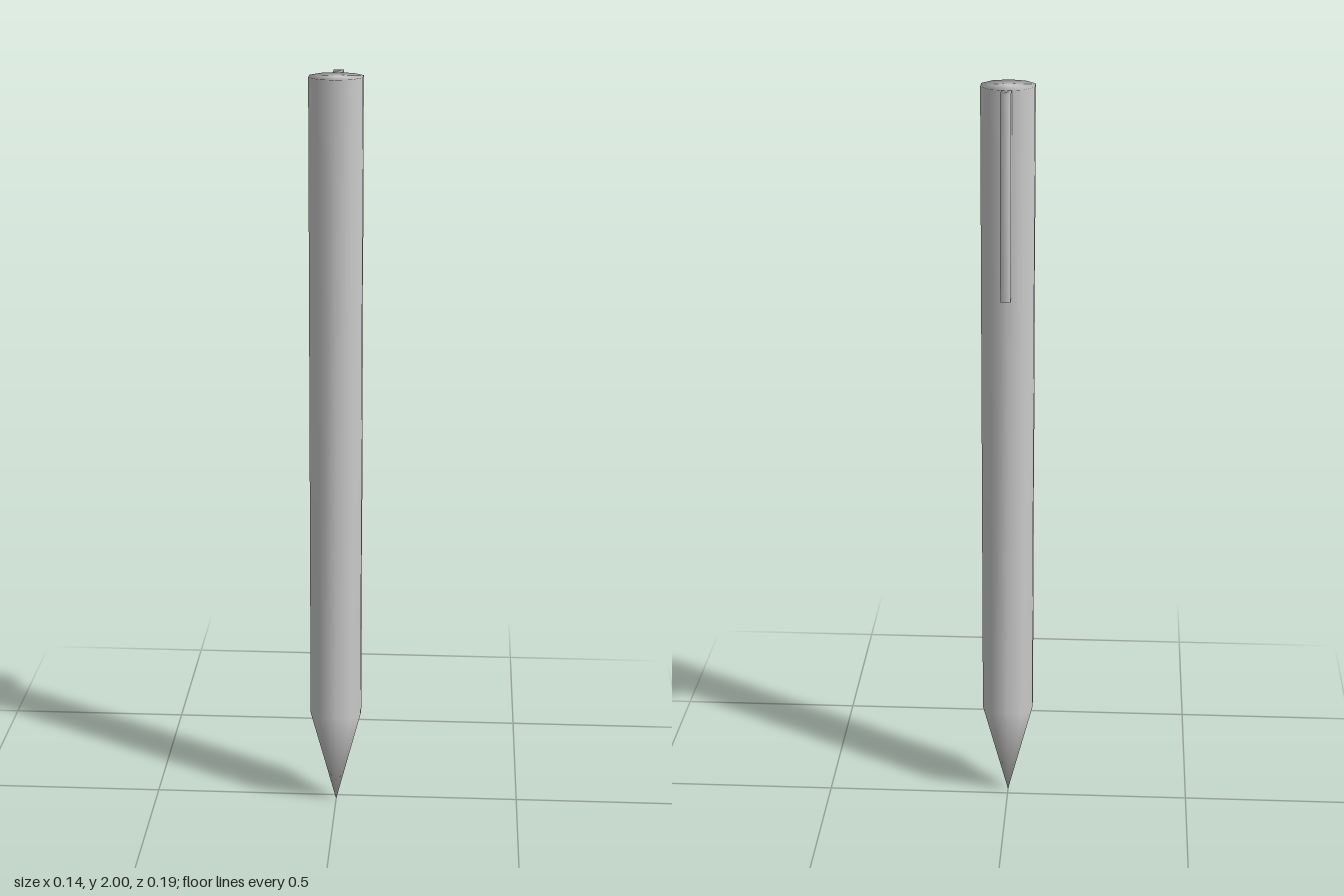
import * as THREE from 'three';
import { mergeVertices } from 'three/addons/utils/BufferGeometryUtils.js';

// Weld all corners so shading runs smoothly over every edge of a part
function soften(geometry) {
  geometry.deleteAttribute('normal');
  geometry.deleteAttribute('uv');
  const welded = mergeVertices(geometry, 1e-4);
  welded.computeVertexNormals();
  return welded;
}

export function createModel() {
  const pen = new THREE.Group();
  pen.name = 'pen';

  const grey = new THREE.MeshStandardMaterial({ color: 0xcccccc });
  grey.name = 'light grey';

  const radius = 0.072, sides = 10, axisZ = 0.024, tipHeight = 0.27, top = 2;

  function add(name, geometry, y, z) {
    const mesh = new THREE.Mesh(soften(geometry), grey);
    mesh.name = name;
    mesh.position.set(0, y, z);
    pen.add(mesh);
  }

  // Ten-sided barrel
  const barrelHeight = top - tipHeight;
  add('barrel', new THREE.CylinderGeometry(radius, radius, barrelHeight, sides), tipHeight + barrelHeight / 2, axisZ);

  // Pointed writing tip, turned point down
  const tip = new THREE.ConeGeometry(radius, tipHeight, sides).rotateZ(Math.PI);
  add('tip', tip, tipHeight / 2, axisZ);

  // Pocket clip along the back, flush with the top
  const clipHeight = 0.53;
  add('clip', new THREE.BoxGeometry(0.026, clipHeight, 0.052), top - clipHeight / 2, -0.071);

  return pen;
}
